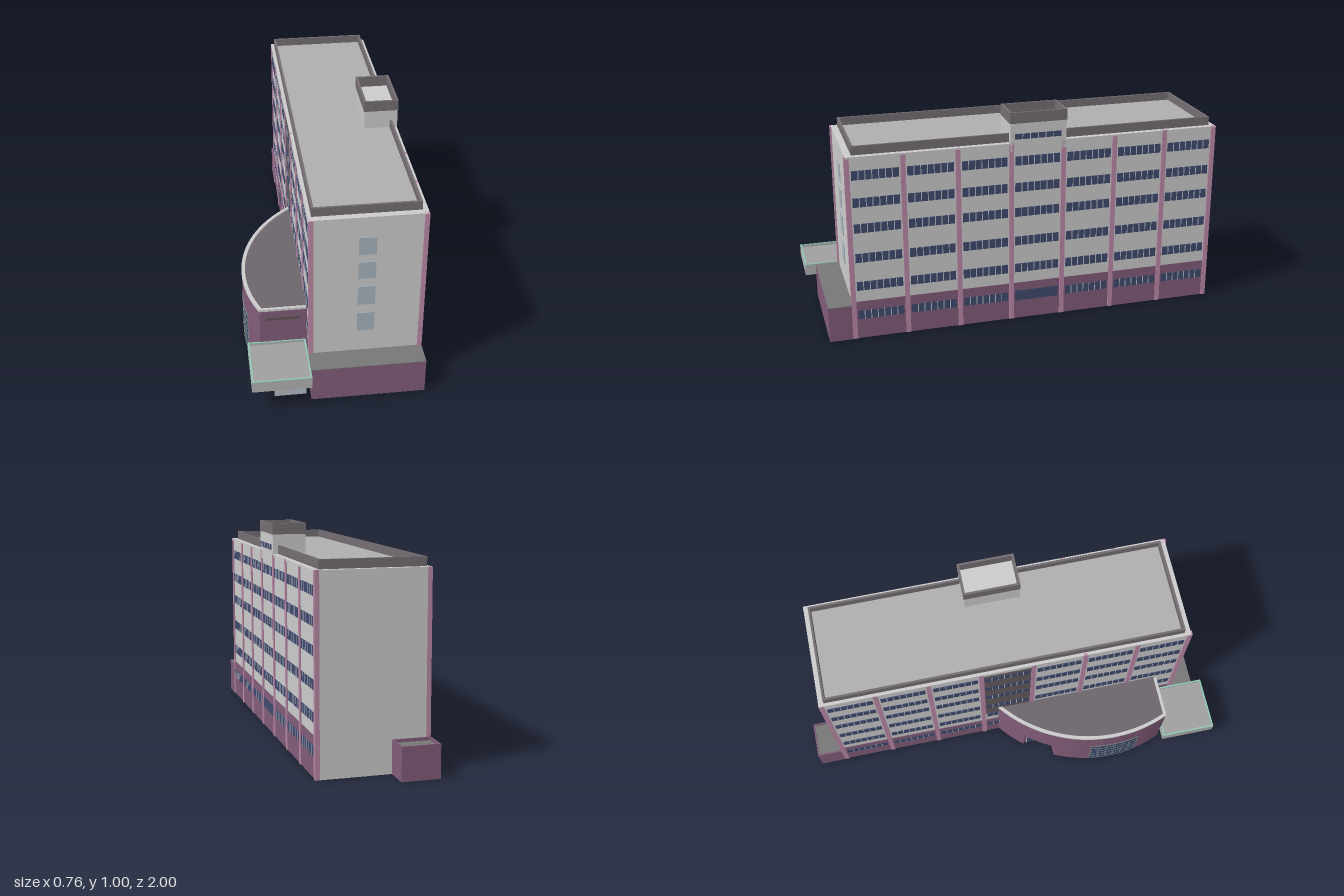
import * as THREE from 'three';
import { mergeGeometries } from 'three/addons/utils/BufferGeometryUtils.js';

const GREY = 0xcccccc, PLUM = 0x825c79, PINK = 0xba89a6, GLASS = 0x3f4a6e;
const DARK = 0x756e73, ROOF = 0xaeaeae, LOWROOF = 0x777777, FRAME = 0xb4bcc4, TEAL = 0x8fc4b2;

// box geometry from its limits (non-indexed, so it merges with prisms)
const box = (x0, x1, y0, y1, z0, z1) =>
  new THREE.BoxGeometry(x1 - x0, y1 - y0, z1 - z0).toNonIndexed()
    .translate((x0 + x1) / 2, (y0 + y1) / 2, (z0 + z1) / 2);

// four thin walls around a rectangle
const ring = (x0, x1, y0, y1, z0, z1, t) => [
  box(x0, x0 + t, y0, y1, z0, z1), box(x1 - t, x1, y0, y1, z0, z1),
  box(x0 + t, x1 - t, y0, y1, z0, z0 + t), box(x0 + t, x1 - t, y0, y1, z1 - t, z1)];

// vertical prism from [x, z] plan points
function prism(points, y0, y1) {
  const shape = new THREE.Shape(points.map(([x, z]) => new THREE.Vector2(x, -z)));
  return new THREE.ExtrudeGeometry(shape, { depth: y1 - y0, bevelEnabled: false })
    .rotateX(-Math.PI / 2).translate(0, y0, 0);
}

// plan of the bowed side hall: a circular arc running from z0 to z1
const CX = 0.29, CZ = 0.47, R = 0.67;
function arc(r, z0, z1, n = 24) {
  const a0 = Math.asin((z0 - CZ) / r), a1 = Math.asin((z1 - CZ) / r);
  return Array.from({ length: n + 1 }, (_, i) => {
    const a = a0 + (a1 - a0) * i / n;
    return [CX - r * Math.cos(a), CZ + r * Math.sin(a)];
  });
}
const band = (r0, r1, z0, z1, y0, y1, n) =>
  prism([...arc(r1, z0, z1, n), ...arc(r0, z0, z1, n).reverse()], y0, y1);

export function createModel() {
  const model = new THREE.Group();
  const add = (name, color, geos) => {
    const mesh = new THREE.Mesh(mergeGeometries([].concat(geos)),
      new THREE.MeshStandardMaterial({ color, flatShading: true }));
    mesh.name = name;
    model.add(mesh);
  };

  // main block: open-bottomed shell of walls and a roof
  add('mainWalls', GREY, [
    box(0.364, 0.374, 0.18, 0.86, -0.876, 0.836), box(-0.114, -0.104, 0.18, 0.86, -0.876, 0.836),
    box(-0.116, 0.376, 0, 0.86, -0.88, -0.87), box(-0.116, 0.376, 0, 0.86, 0.828, 0.838),
    box(-0.12, 0.38, 0.852, 0.86, -0.88, 0.84)]);
  add('groundFloorWalls', PLUM, [
    box(0.366, 0.376, 0, 0.18, -0.876, 0.838), box(-0.116, -0.106, 0, 0.18, -0.876, 0.838)]);
  add('mainRoof', ROOF, box(-0.1, 0.35, 0.858, 0.863, -0.85, 0.805));
  add('roofParapet', DARK, [
    box(-0.105, -0.095, 0.86, 0.9, -0.855, 0.81),
    box(-0.095, 0.355, 0.86, 0.9, -0.855, -0.845), box(-0.095, 0.355, 0.86, 0.9, 0.8, 0.81),
    box(0.345, 0.355, 0.86, 0.9, -0.845, -0.15), box(0.345, 0.355, 0.86, 0.9, 0.11, 0.8)]);

  // pilasters and strip windows on both long sides
  const bays = 7, pitch = 0.2435, first = -0.87;
  const pilasters = [], panes = [], bars = [];
  for (const [x0, x1] of [[0.36, 0.38], [-0.12, -0.1]]) {
    for (let i = 0; i <= bays; i++) {
      const z = first + i * pitch;
      pilasters.push(box(x0, x1, 0, 0.86, z - 0.011, z + 0.011));
    }
    const right = x0 > 0;
    for (const y of [0.115, 0.255, 0.39, 0.53, 0.65, 0.775]) {
      for (let i = 0; i < bays; i++) {
        const a = first + i * pitch + 0.018, b = a + pitch - 0.036;
        const entrance = right && i === 3 && y < 0.2;
        const h = entrance ? 0.025 : 0.021;
        panes.push(box(x0 + 0.0025, x1 - 0.0025, y - h, y + h, a, b));
        if (entrance) continue;
        for (let k = 1; k < 7; k++) {
          const z = a + (b - a) * k / 7;
          bars.push(box(x0 + 0.0018, x1 - 0.0018, y - h, y + h, z - 0.002, z + 0.002));
        }
      }
    }
  }
  add('pilasters', PINK, pilasters);
  add('stripWindows', GLASS, panes);
  add('windowBars', FRAME, bars);
  add('stairBayPanel', 0x665c60, box(-0.116, -0.106, 0.28, 0.82, -0.128, 0.093));

  // end wall windows
  add('endWindows', 0xa8b4bd, [[0.275, 0.37], [0.415, 0.51], [0.552, 0.636], [0.675, 0.76]]
    .map(([a, b]) => box(0.09, 0.165, a, b, 0.83, 0.841)));

  // lift house on the roof
  add('liftHouse', GREY, box(0.225, 0.38, 0.82, 0.95, -0.15, 0.11));
  add('liftHouseParapet', DARK, ring(0.223, 0.382, 0.95, 1, -0.152, 0.112, 0.01));
  add('liftHouseWindow', GLASS, box(0.37, 0.382, 0.877, 0.902, -0.125, 0.09));
  add('liftHouseWindowBars', FRAME, [1, 2, 3, 4, 5].map(k => {
    const z = -0.125 + 0.215 * k / 6;
    return box(0.37, 0.3828, 0.877, 0.902, z - 0.002, z + 0.002);
  }));

  // low blocks at both ends
  add('frontBlock', PLUM, box(-0.12, 0.38, 0.001, 0.163, 0.839, 0.95));
  add('frontBlockRoof', LOWROOF, box(-0.12, 0.38, 0.163, 0.166, 0.839, 0.95));
  add('frontBlockFloor', LOWROOF, box(-0.12, 0.38, 0, 0.001, 0.839, 0.95));
  add('backBlock', PLUM, [box(-0.12, 0.05, 0.001, 0.13, -1, -0.88),
    ...ring(-0.12, 0.05, 0.13, 0.148, -1, -0.88, 0.006)]);
  add('backBlockRoof', LOWROOF, box(-0.114, 0.044, 0.128, 0.134, -0.994, -0.886));
  add('backBlockFloor', LOWROOF, box(-0.12, 0.05, 0, 0.001, -1, -0.88));

  // bowed side hall, notched at ground level for a side door
  const inner = -0.112, z0 = -0.064, z1 = 0.74;
  add('sideHall', PLUM, [
    prism([...arc(R, z0, 0.045, 6), [-0.22, 0.045], [-0.22, 0.185], ...arc(R, 0.185, z1, 18),
      [inner, z1]], 0, 0.15),
    prism([...arc(R, z0, z1), [inner, z1]], 0.15, 0.335)]);
  add('sideHallRoof', 0x6c666c,
    prism([...arc(R - 0.01, z0 + 0.01, z1 - 0.01), [inner, z1 - 0.01]], 0.33, 0.338));
  add('sideHallRim', GREY, [band(R - 0.014, R + 0.002, z0, z1, 0.335, 0.346, 24),
    box(-0.318, -0.12, 0.335, 0.346, z1 - 0.012, z1 + 0.001)]);
  add('sideDoor', GLASS, box(-0.222, -0.21, 0, 0.148, 0.06, 0.184));
  add('sideDoorBars', FRAME, [0.062, 0.1, 0.14, 0.18]
    .map(z => box(-0.224, -0.21, 0, 0.148, z - 0.002, z + 0.002)));

  // curved window grid
  const g0 = 0.36, g1 = 0.6, grid = [];
  add('curvedWindow', GLASS, band(R - 0.01, R + 0.001, g0, g1, 0.01, 0.21, 8));
  for (let i = 0; i <= 6; i++) {
    const z = g0 + (g1 - g0) * i / 6;
    grid.push(band(R - 0.01, R + 0.002, z - 0.0015, z + 0.0015, 0.01, 0.21, 1));
  }
  for (let j = 0; j <= 5; j++) {
    const y = 0.01 + 0.2 * j / 5;
    grid.push(band(R - 0.01, R + 0.002, g0, g1, y - 0.0015, y + 0.0015, 8));
  }
  add('curvedWindowBars', 0x8a9a90, grid);

  // high window in the hall's front wall
  add('hallFrontWindow', 0x5e5656, [0, 1, 2].map(k =>
    box(-0.296 + k * 0.052, -0.247 + k * 0.052, 0.285, 0.3, 0.73, 0.742)));

  // entrance canopy and glazed porch
  add('canopy', 0xb2b2b2, [box(-0.38, -0.122, 0.113, 0.152, 0.738, 1),
    ...ring(-0.38, -0.122, 0.152, 0.165, 0.738, 1, 0.008)]);
  add('canopyTrim', TEAL, ring(-0.38, -0.122, 0.165, 0.168, 0.738, 1, 0.008));
  add('canopyRoof', 0x9f9f9f, box(-0.372, -0.13, 0.15, 0.155, 0.746, 0.992));
  add('porchGlass', GLASS, box(-0.275, -0.14, 0, 0.114, 0.735, 0.908));
  const posts = [];
  for (let k = 0; k <= 4; k++) {
    const x = -0.275 + 0.135 * k / 4, z = 0.745 + 0.163 * k / 4;
    posts.push(box(x - 0.003, x + 0.003, 0, 0.114, 0.9, 0.911));
    posts.push(box(-0.278, -0.137, 0, 0.114, z - 0.003, z + 0.003));
  }
  add('porchPosts', FRAME, posts);

  return model;
}
